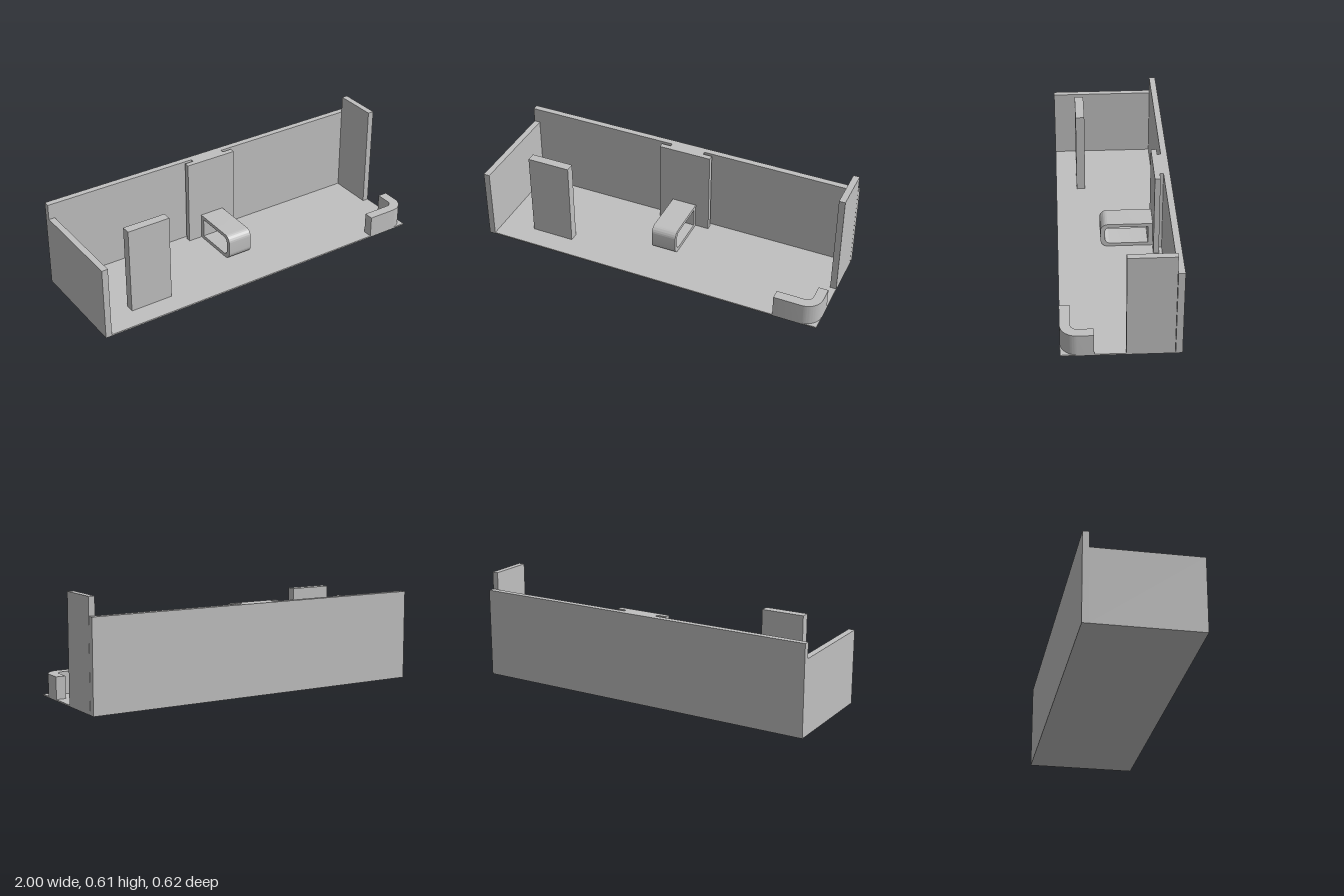
import * as THREE from 'three';
import { toCreasedNormals } from 'three/addons/utils/BufferGeometryUtils.js';

const grey = new THREE.MeshStandardMaterial({ color: 0xc0c0c0 });
grey.name = 'grey';

export function createModel() {
  const group = new THREE.Group();

  const add = (name, geometry) => {
    const mesh = new THREE.Mesh(geometry, grey);
    mesh.name = name;
    group.add(mesh);
    return mesh;
  };

  // Box given by its limits on each axis
  const box = (name, x0, x1, y0, y1, z0, z1) =>
    add(name, new THREE.BoxGeometry(x1 - x0, y1 - y0, z1 - z0))
      .position.set((x0 + x1) / 2, (y0 + y1) / 2, (z0 + z1) / 2);

  const extrude = (shape, depth) => toCreasedNormals(
    new THREE.ExtrudeGeometry(shape, { depth, bevelEnabled: false, curveSegments: 16 }), 0.5);

  const floorTop = 0.008;

  // Floor and walls
  box('floor', -1, 1, 0, floorTop, -0.3125, 0.3125);
  box('backWall', -1, 1, 0, 0.506, -0.3125, -0.277);
  box('lowSideWall', -1, -0.965, 0, 0.418, -0.277, 0.3125);
  box('tallSideWall', 0.965, 1, 0, 0.606, -0.275, -0.025);

  // Free-standing post
  box('post', -0.775, -0.528, floorTop, 0.506, 0.138, 0.189);

  // T-shaped rail on the back wall
  box('railNeck', -0.102, 0.097, floorTop, 0.506, -0.28, -0.257);
  box('railPlate', -0.156, 0.151, floorTop, 0.506, -0.257, -0.226);

  // Hollow loop, rounded at the front: drawn in (z, y), extruded along x
  const roundedFront = (path, back, front, low, high, r) => {
    path.moveTo(back, low);
    path.lineTo(front - r, low);
    path.absarc(front - r, low + r, r, -Math.PI / 2, 0, false);
    path.absarc(front - r, high - r, r, 0, Math.PI / 2, false);
    path.lineTo(back, high);
    path.closePath();
    return path;
  };
  const loop = roundedFront(new THREE.Shape(), -0.226, 0.069, floorTop, 0.156, 0.042);
  loop.holes.push(roundedFront(new THREE.Path(), -0.2, 0.043, 0.028, 0.136, 0.03));
  const loopMesh = add('loop', extrude(loop, 0.145));
  loopMesh.rotation.y = -Math.PI / 2;
  loopMesh.position.x = 0.071;

  // Rounded corner guard: drawn in (x, -z), extruded upwards
  const guard = new THREE.Shape();
  guard.moveTo(0.75, -0.3125);
  guard.lineTo(0.91, -0.3125);
  guard.absarc(0.91, -0.2225, 0.09, -Math.PI / 2, 0, false);
  guard.lineTo(1, -0.138);
  guard.lineTo(0.945, -0.138);
  guard.lineTo(0.945, -0.2225);
  guard.absarc(0.91, -0.2225, 0.035, 0, -Math.PI / 2, true);
  guard.lineTo(0.75, -0.2575);
  guard.closePath();
  const guardMesh = add('cornerGuard', extrude(guard, 0.131 - floorTop));
  guardMesh.rotation.x = -Math.PI / 2;
  guardMesh.position.y = floorTop;

  return group;
}
